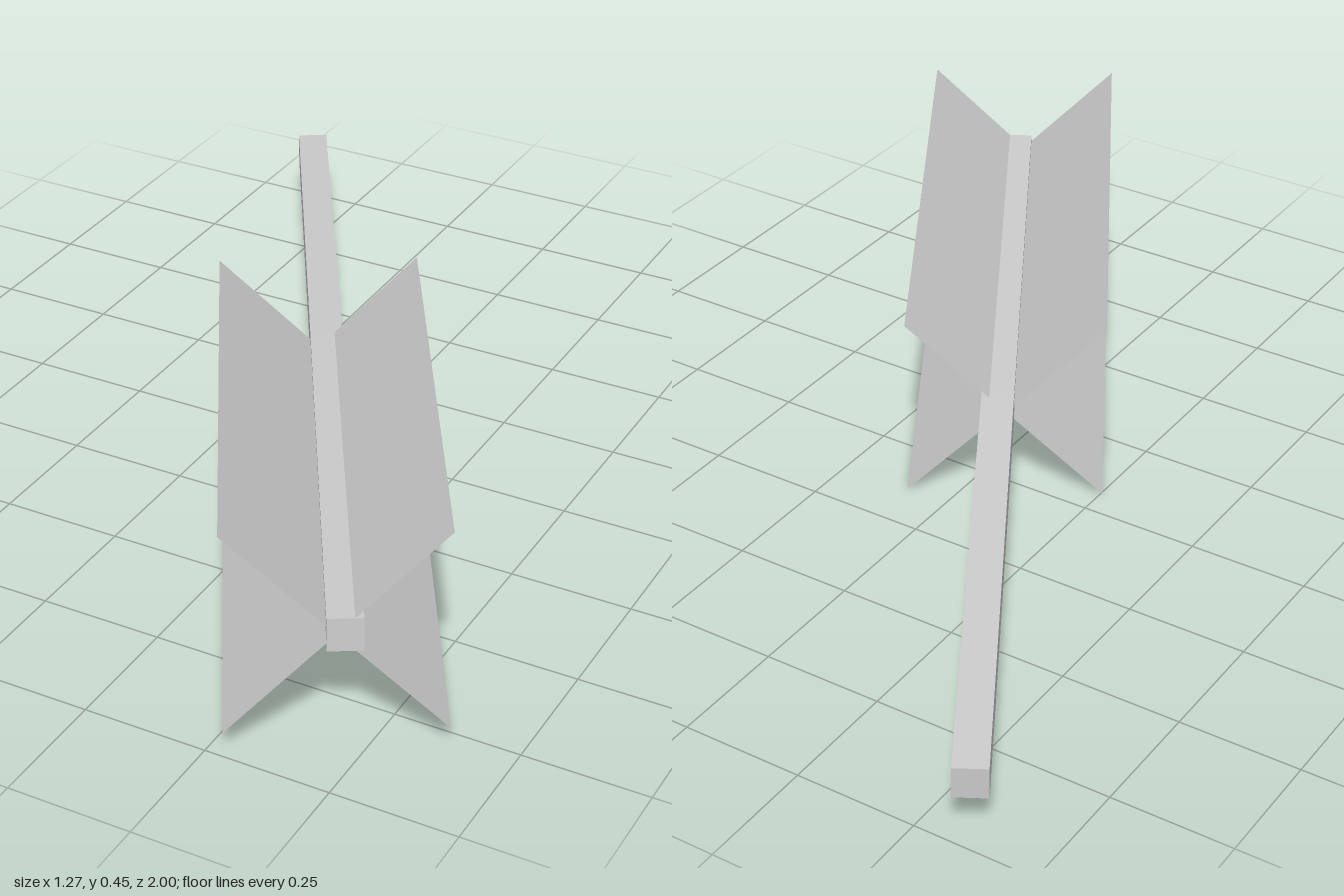
import * as THREE from 'three';

export function createModel() {
  const group = new THREE.Group();
  const solid = new THREE.MeshStandardMaterial({ color: 0xcccccc, flatShading: true });
  const thin = new THREE.MeshStandardMaterial({ color: 0xcccccc, flatShading: true, side: THREE.DoubleSide });

  // Frame along the shaft: local +z runs towards the finned end, origin at mid shaft
  const arrow = new THREE.Group();
  arrow.name = 'arrow';
  arrow.rotation.order = 'YXZ';
  arrow.rotation.set(THREE.MathUtils.degToRad(-2.6), Math.PI / 6, 0);
  arrow.position.set(-0.07, 0.2015, -0.0525);
  group.add(arrow);

  // Square shaft, its plain half drooping slightly from the middle
  const half = 1.078;
  const shaftGeo = new THREE.BoxGeometry(0.066, 0.067, half * 2, 1, 1, 2);
  const p = shaftGeo.attributes.position;
  for (let i = 0; i < p.count; i++) {
    const z = p.getZ(i);
    if (z < 0) p.setY(i, p.getY(i) + 0.0175 * z / half);
  }
  shaftGeo.computeVertexNormals();
  const shaft = new THREE.Mesh(shaftGeo, solid);
  shaft.name = 'shaft';
  arrow.add(shaft);

  // Two thin sheets crossing at right angles make the four fins
  const finGeo = new THREE.PlaneGeometry(0.569, half);
  finGeo.rotateX(-Math.PI / 2);
  for (const side of [-1, 1]) {
    const fin = new THREE.Mesh(finGeo, thin);
    fin.name = side < 0 ? 'fallingFins' : 'risingFins';
    fin.rotation.z = side * Math.PI / 4;
    fin.position.set(-0.0155, 0.001, half / 2);
    arrow.add(fin);
  }
  return group;
}
